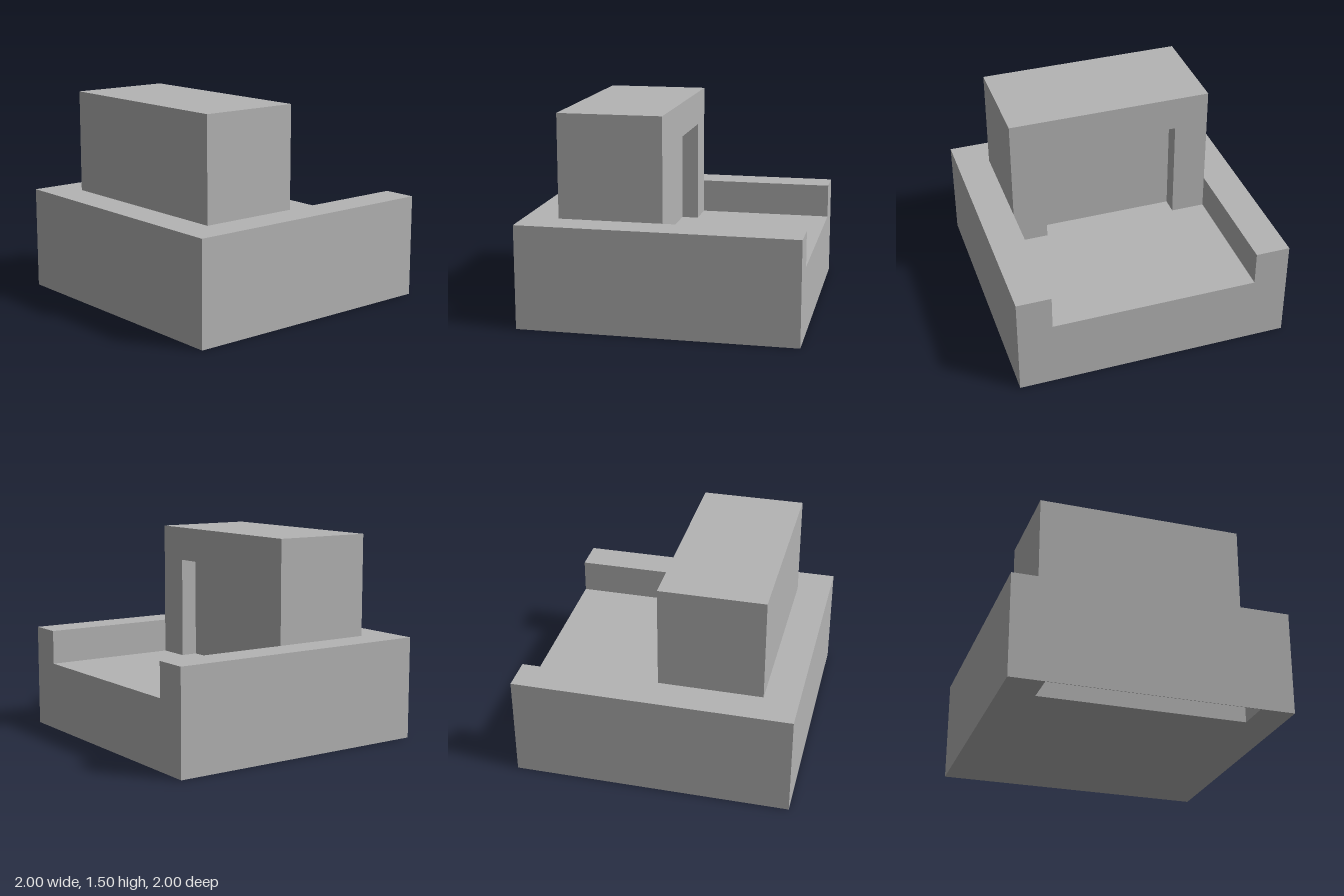
import * as THREE from 'three';

export function createModel() {
  const model = new THREE.Group();
  const grey = new THREE.MeshStandardMaterial({ color: 0xb4b4b4 });
  grey.name = 'grey';

  function add(name, geometry, parent = model) {
    const mesh = new THREE.Mesh(geometry, grey);
    mesh.name = name;
    parent.add(mesh);
    return mesh;
  }

  // Box given by its low and high corners
  function box(name, [x0, y0, z0], [x1, y1, z1], parent) {
    const mesh = add(name, new THREE.BoxGeometry(x1 - x0, y1 - y0, z1 - z0), parent);
    mesh.position.set((x0 + x1) / 2, (y0 + y1) / 2, (z0 + z1) / 2);
    return mesh;
  }

  // Side walls and the sunken floor between them
  box('leftWall', [0.75, 0, -1], [1, 0.75, 1]);
  box('rightWall', [-1, 0, -1], [-0.75, 0.75, 1]);
  box('floor', [-0.75, 0, -1], [0.75, 0.5, 0.75]);

  // Hollow front wall, open underneath
  const skin = 0.004;
  const front = new THREE.Group();
  front.name = 'frontWall';
  model.add(front);
  box('frontPanel', [-0.75, 0, 1 - skin], [0.75, 0.75, 1], front);
  box('frontLedge', [-0.75, 0.75 - skin, 0.75], [0.75, 0.75, 1 - skin], front);

  // Tower: solid block behind a doorway frame facing the rear
  const tower = new THREE.Group();
  tower.name = 'tower';
  model.add(tower);
  box('towerBlock', [-0.75, 0.5, 0.125], [0.75, 1.5, 0.75], tower);

  const outline = [
    [-0.75, 0.5], [-0.5, 0.5], [-0.5, 1.25], [0.5, 1.25],
    [0.5, 0.5], [0.75, 0.5], [0.75, 1.5], [-0.75, 1.5],
  ];
  const frame = new THREE.Shape(outline.map(([x, y]) => new THREE.Vector2(x, y)));
  add('doorFrame', new THREE.ExtrudeGeometry(frame, { depth: 0.125, bevelEnabled: false }), tower);

  return model;
}
